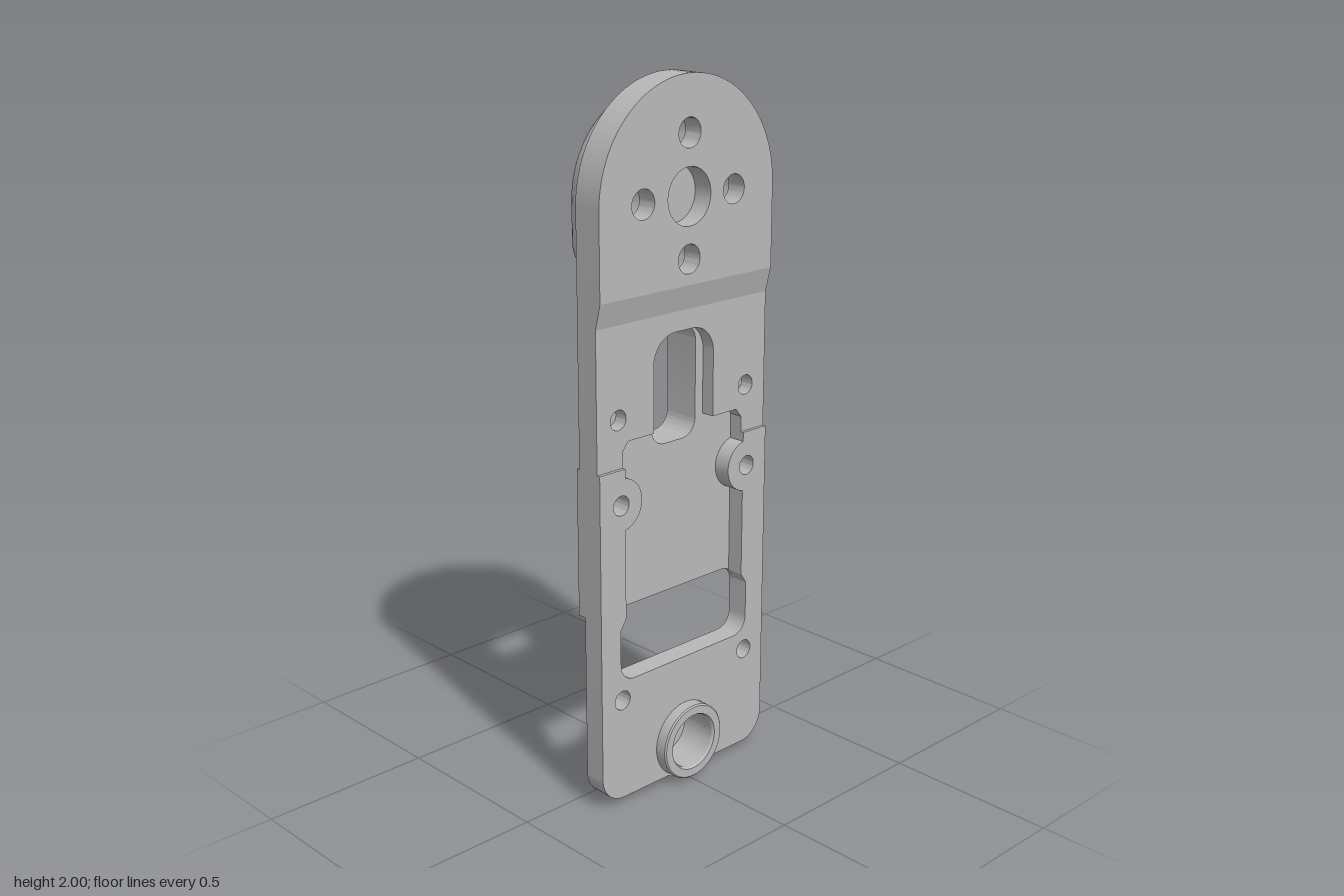
import * as THREE from 'three';
import { toCreasedNormals } from 'three/addons/utils/BufferGeometryUtils.js';

const metal = new THREE.MeshStandardMaterial({ color: 0xb8b8b8, side: THREE.DoubleSide });
metal.name = 'grey metal';

const HALF = 0.316, DOME_Y = 1.685, BOSS_Y = 0.12;
const SEG = 24;

export function createModel() {
  const group = new THREE.Group();
  const add = (name, geo) => {
    const mesh = new THREE.Mesh(toCreasedNormals(geo, 0.5), metal);
    mesh.name = name;
    group.add(mesh);
  };

  // Outlines are drawn in the (-z, y) plane and turned so that depth runs along +x
  const slab = (name, shape, x0, x1) => {
    const g = new THREE.ExtrudeGeometry(shape, { depth: x1 - x0, bevelEnabled: false, curveSegments: SEG });
    add(name, g.rotateY(Math.PI / 2).translate(x0, 0, 0));
  };
  const hole = (u, y, r) => new THREE.Path().absarc(u, y, r, 0, Math.PI * 2, true);
  const pair = (y, r) => [hole(-0.24, y, r), hole(0.24, y, r)];
  const roundRect = (P, w, y0, y1, r) => {
    const p = new P();
    p.moveTo(-w + r, y0).lineTo(w - r, y0);
    p.absarc(w - r, y0 + r, r, -Math.PI / 2, 0, false);
    p.absarc(w - r, y1 - r, r, 0, Math.PI / 2, false);
    p.absarc(-w + r, y1 - r, r, Math.PI / 2, Math.PI, false);
    p.absarc(-w + r, y0 + r, r, Math.PI, Math.PI * 1.5, false);
    return p;
  };
  const domed = (y0) => {
    const s = new THREE.Shape();
    s.moveTo(-HALF, y0).lineTo(HALF, y0);
    s.absarc(0, DOME_Y, HALF, 0, Math.PI, false);
    return s;
  };
  // Mirrors the right half of an outline, listed from inner to outer end
  const mirrored = (pts) => new THREE.Shape([
    ...pts.map(([u, y]) => new THREE.Vector2(u, y)),
    ...pts.slice().reverse().filter(([u]) => u > 0).map(([u, y]) => new THREE.Vector2(-u, y)),
  ]);
  const arc = (cu, cy, r, a0, a1, n = 14) => Array.from({ length: n + 1 }, (_, i) => {
    const a = a0 + (a1 - a0) * i / n;
    return [cu + r * Math.cos(a), cy + r * Math.sin(a)];
  });
  // Surface through a row of closed loops of equal length
  const loft = (name, loops) => {
    const n = loops[0].length, index = [];
    for (let j = 0; j < loops.length - 1; j++) {
      for (let i = 0; i < n; i++) {
        const a = j * n + i, b = j * n + (i + 1) % n;
        index.push(a, b, a + n, b, b + n, a + n);
      }
    }
    const g = new THREE.BufferGeometry().setFromPoints(loops.flat());
    g.setIndex(index);
    g.computeVertexNormals();
    add(name, g);
  };

  const PI = Math.PI;
  const boltHoles = (r) => [0, 1, 2, 3].map((i) =>
    hole(0.165 * Math.cos(i * PI / 2), DOME_Y + 0.165 * Math.sin(i * PI / 2), r));
  const slot = () => roundRect(THREE.Path, 0.083, 1.005, 1.325, 0.05);

  // Lower front layer: U-shaped frame around the pocket and window, with screw lugs
  const k = Math.asin(Math.sqrt(0.075 ** 2 - 0.015 ** 2) / 0.075);
  const lower = mirrored([
    [0, 0.375],
    ...arc(0.195, 0.425, 0.05, -PI / 2, 0),
    [0.245, 0.53], [0.225, 0.56],
    ...arc(0.24, 0.89, 0.075, PI + k, PI - k),
    [0.225, 0.99], [HALF, 0.99],
    ...arc(HALF - 0.08, 0.1, 0.08, 0, -PI / 2),
    [0, 0.02],
  ]);
  lower.holes.push(...pair(0.89, 0.028), ...pair(0.32, 0.028), hole(0, BOSS_Y, 0.08));
  slab('lower front frame', lower, 0.06, 0.11);

  // Middle front layer with the head of the pocket and the slot recess
  const middle = mirrored([
    [0, 1.325],
    ...arc(0.032, 1.245, 0.08, PI / 2, 0),
    [0.112, 1.06], [0.205, 1.06], [0.225, 1.035], [0.225, 0.99],
    [HALF, 0.99], [HALF, 1.38], [0, 1.38],
  ]);
  middle.holes.push(...pair(1.125, 0.028));
  slab('middle front layer', middle, 0.06, 0.1);

  // Sloped step between middle and head
  const step = new THREE.Shape([[0.06, 1.38], [0.1, 1.38], [0.118, 1.45], [0.06, 1.45]]
    .map(([x, y]) => new THREE.Vector2(x, y)));
  add('sloped step', new THREE.ExtrudeGeometry(step, { depth: 2 * HALF, bevelEnabled: false }).translate(0, 0, -HALF));

  // Head with bolt holes and blind centre bore
  const head = domed(1.45);
  head.holes.push(...boltHoles(0.04), hole(0, DOME_Y, 0.078));
  slab('head plate', head, 0.06, 0.118);

  // Back layers
  const upperBack = domed(0.99);
  upperBack.holes.push(...boltHoles(0.078), slot());
  slab('upper back layer', upperBack, 0.03, 0.06);

  const midBack = new THREE.Shape([[-HALF, 0.57], [HALF, 0.57], [HALF, 0.99], [-HALF, 0.99]]
    .map(([u, y]) => new THREE.Vector2(u, y)));
  midBack.holes.push(...pair(0.89, 0.028));
  slab('middle back layer', midBack, 0.02, 0.06);

  const lowBack = mirrored([
    [0, 0.58], [HALF, 0.58],
    ...arc(HALF - 0.08, 0.1, 0.08, 0, -PI / 2),
    [0, 0.02],
  ]);
  lowBack.holes.push(roundRect(THREE.Path, 0.245, 0.375, 0.57, 0.05), ...pair(0.32, 0.028), hole(0, BOSS_Y, 0.08));
  slab('lower back layer', lowBack, 0.045, 0.06);

  // Raised back: flared edge around the dome, narrower below, notched for the screws
  const raisedLoop = (d, yBottom) => {
    const side = [];
    const N = 120;
    for (let i = 0; i < N; i++) {
      const y = yBottom + (DOME_Y - yBottom) * i / N;
      const s = THREE.MathUtils.smoothstep(y, 1.42, 1.58);
      let u = THREE.MathUtils.lerp(0.23 - 0.5 * d, HALF - d, s);
      const q = 0.065 ** 2 - (y - 0.89) ** 2;
      if (q > 0) u = Math.min(u, 0.24 - Math.sqrt(q));
      side.push([u, y]);
    }
    return [...side, ...arc(0, DOME_Y, HALF - d, 0, PI, 64), ...side.reverse().map(([u, y]) => [-u, y])];
  };
  // x, inset, bottom y
  const sections = [
    [0.03, 0, 0.575], [0.025, 0.006, 0.577], [0.015, 0.02, 0.583], [0, 0.034, 0.593], [-0.02, 0.042, 0.607],
    [-0.035, 0.046, 0.618], [-0.045, 0.052, 0.63], [-0.05, 0.066, 0.645],
  ];
  loft('raised back edge', sections.map(([x, d, y]) =>
    raisedLoop(d, y).map(([u, v]) => new THREE.Vector3(x, v, -u))));
  const cap = new THREE.Shape(raisedLoop(0.066, 0.645).map(([u, y]) => new THREE.Vector2(u, y)));
  cap.holes.push(...boltHoles(0.078), slot());
  add('raised back face', new THREE.ShapeGeometry(cap, SEG).rotateY(-PI / 2).translate(-0.05, 0, 0));
  [...boltHoles(0.078), slot()].forEach((path) => {
    const pts = path.getPoints(SEG);
    loft('opening wall', [-0.05, 0.03].map((x) => pts.map((p) => new THREE.Vector3(x, p.y, -p.x))));
  });

  // Turned parts on the lower axis: profile points are radius, x
  const turned = (name, profile) => {
    const g = new THREE.LatheGeometry(profile.map(([r, x]) => new THREE.Vector2(r, x)), 64);
    g.rotateZ(-PI / 2).translate(0, BOSS_Y, 0);
    const p = g.attributes.position;
    for (let i = 0; i < p.count; i++) p.setY(i, Math.max(0, p.getY(i)));
    add(name, g);
  };
  turned('front boss ring', [[0, 0.03], [0.08, 0.03], [0.08, 0.14], [0.084, 0.147], [0.108, 0.147], [0.112, 0.143], [0.112, 0.1]]);
  turned('boss hub', [[0.112, 0.11], [0.118, 0.11], [0.118, 0.04]]);
  turned('pin flare', [[0.085, -0.01], [0.11, -0.01], [0.114, -0.005], [0.117, 0.01], [0.125, 0.027], [0.138, 0.039], [0.155, 0.046]]);
  turned('pin', [[0.085, -0.148], [0.09, -0.143], [0.09, 0]]);
  const tip = new THREE.Shape().absarc(0, BOSS_Y, 0.085, 0, PI * 2, false);
  tip.holes.push(hole(-0.04, BOSS_Y, 0.012), hole(0.04, BOSS_Y, 0.012));
  slab('pin end', tip, -0.148, -0.11);

  return group;
}
